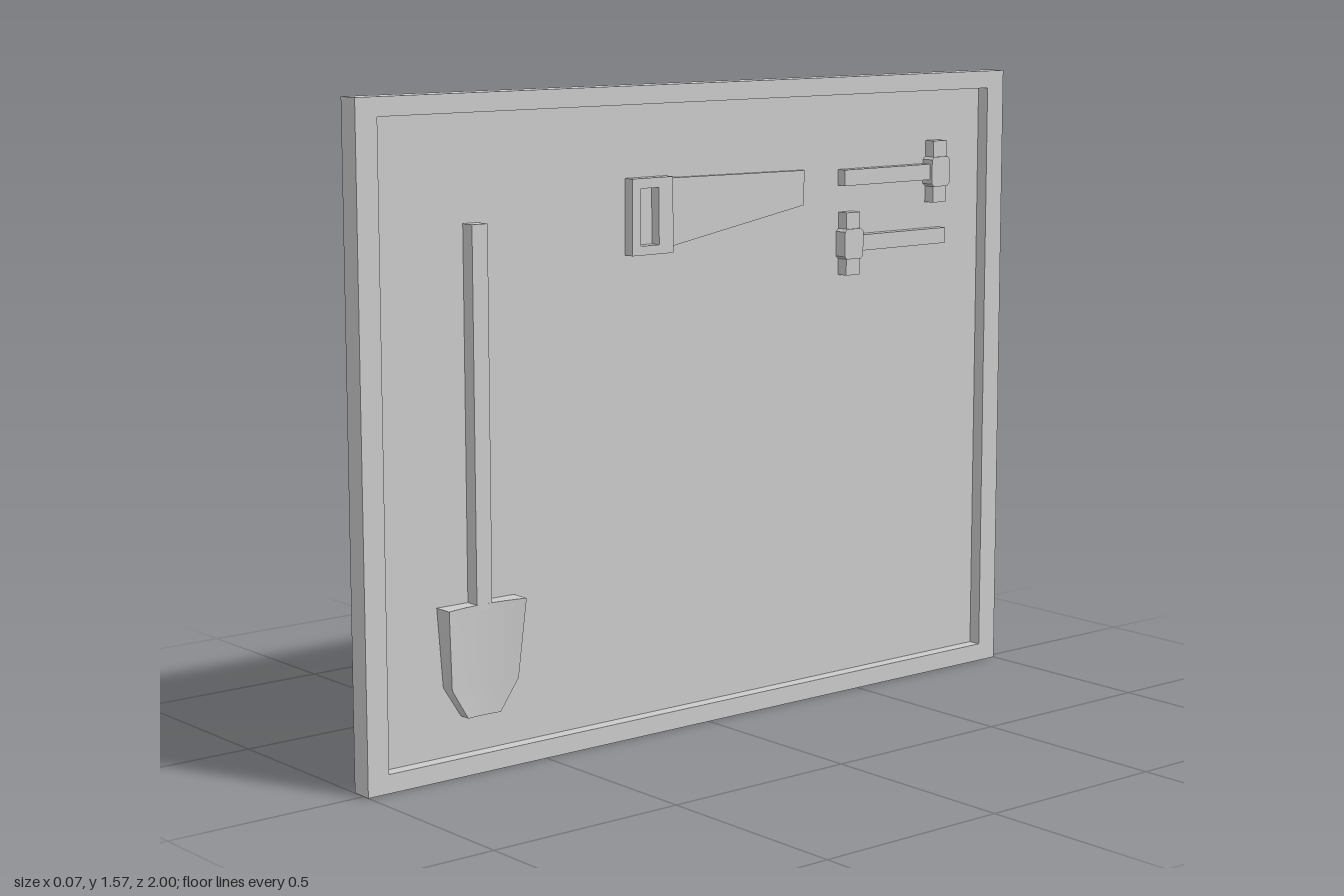
import * as THREE from 'three';

const BACK = -0.037, PANEL = -0.015, FRONT = 0.018;
const grey = new THREE.MeshStandardMaterial({ color: 0xcccccc });

function addMesh(parent, name, geometry) {
  const mesh = new THREE.Mesh(geometry, grey);
  mesh.name = name;
  parent.add(mesh);
  return mesh;
}

// Outline given as [z, y] points, extruded along x from x0 to x1
function plate(points, x0, x1, hole) {
  const toVec = ([z, y]) => new THREE.Vector2(-z, y);
  const shape = new THREE.Shape(points.map(toVec));
  if (hole) shape.holes.push(new THREE.Path(hole.map(toVec)));
  return new THREE.ExtrudeGeometry(shape, { depth: x1 - x0, bevelEnabled: false })
    .rotateY(Math.PI / 2).translate(x0, 0, 0);
}

const rect = (z0, z1, y0, y1) => [[z0, y0], [z1, y0], [z1, y1], [z0, y1]];

function block(z0, z1, y0, y1, x0, x1) {
  return new THREE.BoxGeometry(x1 - x0, y1 - y0, Math.abs(z1 - z0))
    .translate((x0 + x1) / 2, (y0 + y1) / 2, (z0 + z1) / 2);
}

// Shovel blade: a box whose rows follow a taper and whose front is hollowed
function shovelBlade(zCentre) {
  const rows = [ // y, half width, edge x, middle x
    [0.135, 0.046, 0.015, 0.012],
    [0.21, 0.094, 0.021, 0.013],
    [0.40, 0.109, 0.035, 0.021],
  ];
  const geo = new THREE.BoxGeometry(2, 2, 2, 1, 2, 8);
  const p = geo.attributes.position;
  for (let i = 0; i < p.count; i++) {
    const [y, half, edge, middle] = rows[Math.round(p.getY(i)) + 1];
    const s = p.getZ(i);
    const x = p.getX(i) > 0 ? middle + (edge - middle) * s * s : PANEL;
    p.setXYZ(i, x, y, zCentre + s * half);
  }
  geo.computeVertexNormals();
  return geo;
}

// Hammer along z; dir is the direction from head to handle end
function hammer(name, headZ, y, dir) {
  const g = new THREE.Group();
  g.name = name;
  addMesh(g, 'hammerHandle', block(headZ + dir * 0.025, headZ + dir * 0.327, y - 0.02, y + 0.02, PANEL, 0.011));
  addMesh(g, 'hammerHead', block(headZ - 0.023, headZ + 0.023, y - 0.079, y + 0.079, PANEL, 0.015));
  // chamfered collar around the middle of the head
  const collar = [
    [-0.023, -0.038], [0.023, -0.038], [0.031, -0.031], [0.031, 0.031],
    [0.023, 0.038], [-0.023, 0.038], [-0.031, 0.031], [-0.031, -0.031],
  ].map(([z, v]) => [headZ + z, y + v]);
  addMesh(g, 'hammerCollar', plate(collar, PANEL, 0.019));
  return g;
}

export function createModel() {
  const model = new THREE.Group();
  model.name = 'toolBoard';

  // Board: raised frame around a recessed panel
  const inner = [0.943, -0.943, 0.045, 1.526];
  addMesh(model, 'frame', plate(rect(1, -1, 0, 1.57), BACK, FRONT, rect(...inner)));
  addMesh(model, 'panel', block(...inner, BACK, PANEL));

  // Shovel
  const shovel = new THREE.Group();
  shovel.name = 'shovel';
  addMesh(shovel, 'shovelHandle', block(0.697, 0.654, 0.385, 1.275, PANEL, 0.021));
  addMesh(shovel, 'shovelBlade', shovelBlade(0.675));
  model.add(shovel);

  // Saw
  const saw = new THREE.Group();
  saw.name = 'saw';
  addMesh(saw, 'sawHandle', plate(rect(0.231, 0.107, 1.17, 1.352), PANEL, 0.013, rect(0.205, 0.15, 1.192, 1.328)));
  addMesh(saw, 'sawBlade', plate([[0.108, 1.182], [-0.325, 1.257], [-0.325, 1.343], [0.108, 1.347]], PANEL, -0.003));
  model.add(saw);

  // Pair of hammers facing opposite ways
  model.add(hammer('upperHammer', -0.776, 1.318, 1));
  model.add(hammer('lowerHammer', -0.475, 1.152, -1));

  return model;
}
